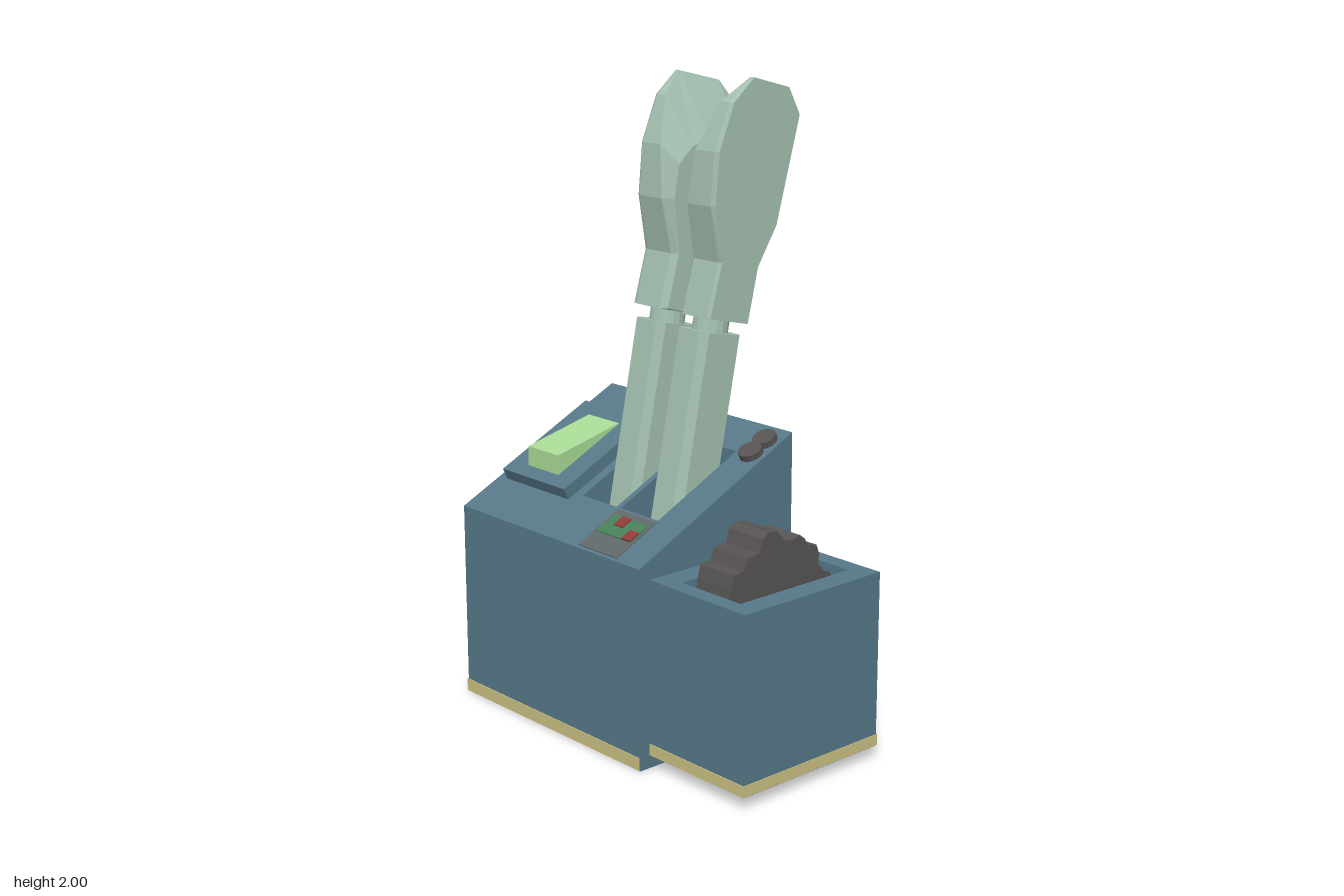
import * as THREE from 'three';

const mat = (color, flat = true) => new THREE.MeshStandardMaterial({ color, flatShading: flat });
const BLUE = mat(0x567888), YELLOW = mat(0xc9bf80), SAGE = mat(0xa3bfaf), LIME = mat(0xa9d994);
const DARK = mat(0x575353), PANEL = mat(0x5f6868), GREEN = mat(0x47805a), RED = mat(0x8f3a3a);

function add(parent, name, geometry, material) {
  const mesh = new THREE.Mesh(geometry, material);
  mesh.name = name;
  parent.add(mesh);
  return mesh;
}

// Box given by its minimum and maximum corners
function boxBetween(a, b) {
  const g = new THREE.BoxGeometry(b[0] - a[0], b[1] - a[1], b[2] - a[2]);
  return g.translate((a[0] + b[0]) / 2, (a[1] + b[1]) / 2, (a[2] + b[2]) / 2);
}

// Side profile of [z, y] points, extruded from x0 to x1
function extrudeX(points, x0, x1) {
  const shape = new THREE.Shape(points.map(p => new THREE.Vector2(p[0], p[1])));
  const g = new THREE.ExtrudeGeometry(shape, { depth: x1 - x0, bevelEnabled: false });
  return g.rotateY(-Math.PI / 2).translate(x1, 0, 0);
}

// Solid from [x, y, z] loops of equal length, with flat end caps facing -x and +x
function loftX(loops) {
  const n = loops[0].length, index = [];
  for (let k = 0; k < loops.length - 1; k++) {
    for (let i = 0; i < n; i++) {
      const a = k * n + i, b = k * n + (i + 1) % n;
      index.push(a, a + n, b, b, a + n, b + n);
    }
  }
  const caps = l => THREE.ShapeUtils.triangulateShape(l.map(p => new THREE.Vector2(p[2], p[1])), []);
  for (const [a, b, c] of caps(loops[0])) index.push(a, b, c);
  const o = (loops.length - 1) * n;
  for (const [a, b, c] of caps(loops[loops.length - 1])) index.push(o + a, o + c, o + b);
  const g = new THREE.BufferGeometry();
  g.setAttribute('position', new THREE.Float32BufferAttribute(loops.flat(2), 3));
  g.setIndex(index);
  const flat = g.toNonIndexed();
  flat.computeVertexNormals();
  return flat;
}

const SLOPE = 0.3 / 0.62;
const slopeY = z => 0.63 + (0.38 - z) * SLOPE;

// Console with a sloping top and two lever slots
function makeConsole() {
  const g = new THREE.Group();
  g.name = 'console';
  const base = [[-0.24, 0], [0.38, 0], [0.38, 0.63]];
  const solid = [...base, [-0.24, 0.93]];
  const slot = [...base, [0.205, slopeY(0.205)], [0.205, slopeY(0.205) - 0.13],
    [-0.115, slopeY(-0.115) - 0.13], [-0.115, slopeY(-0.115)], [-0.24, 0.93]];
  const edges = [-0.625, -0.24, -0.08, -0.06, 0.11, 0.225];
  for (let i = 0; i < 5; i++) {
    add(g, i % 2 ? 'slotSection' : 'consoleSection', extrudeX(i % 2 ? slot : solid, edges[i], edges[i + 1]), BLUE);
  }
  add(g, 'baseStripe', boxBetween([-0.628, 0.002, -0.243], [0.223, 0.042, 0.383]), YELLOW);
  return g;
}

// Fittings laid on the slope: local y is its normal, local z runs down it
function makeSlopeFittings() {
  const g = new THREE.Group();
  g.name = 'slopeFittings';
  g.position.set(0, 0.63, 0.38);
  g.rotation.x = Math.atan(SLOPE);
  add(g, 'screenPlate', boxBetween([-0.585, -0.005, -0.544], [-0.275, 0.04, -0.161]), BLUE);
  add(g, 'circuitPanel', boxBetween([-0.062, -0.01, -0.185], [0.115, 0.003, -0.01]), PANEL);
  add(g, 'circuitBoard', boxBetween([-0.05, 0, -0.16], [0.105, 0.006, -0.08]), GREEN);
  for (const [x, z] of [[-0.01, -0.16], [0.065, -0.12]]) {
    add(g, 'circuitChip', boxBetween([x, 0, z], [x + 0.04, 0.01, z + 0.04]), RED);
  }
  for (const z of [-0.622, -0.555]) {
    add(g, 'roundButton', new THREE.CylinderGeometry(0.038, 0.038, 0.025, 20), DARK).position.set(0.172, 0.008, z);
  }
  return g;
}

// Side box with an open well and a ridged wheel in it
function makeSideBox() {
  const g = new THREE.Group();
  g.name = 'sideBox';
  const base = [[-0.21, 0.04], [0.34, 0.04], [0.34, 0.59]];
  const solid = [...base, [-0.21, 0.59]];
  const well = [...base, [0.285, 0.59], [0.285, 0.49], [-0.155, 0.49], [-0.155, 0.59], [-0.21, 0.59]];
  add(g, 'sideBoxInnerWall', extrudeX(solid, 0.225, 0.305), BLUE);
  add(g, 'sideBoxWell', extrudeX(well, 0.305, 0.55), BLUE);
  add(g, 'sideBoxOuterWall', extrudeX(solid, 0.55, 0.625), BLUE);
  add(g, 'sideBoxStripe', boxBetween([0.226, 0.042, -0.213], [0.627, 0.077, 0.343]), YELLOW);
  const wheel = [[-0.14, 0.485], [0.265, 0.485], [0.275, 0.55], [0.265, 0.61], [0.255, 0.65], [0.215, 0.655],
    [0.2, 0.69], [0.155, 0.695], [0.14, 0.735], [0.115, 0.75], [0.08, 0.745], [0.055, 0.71], [0.02, 0.705],
    [-0.01, 0.715], [-0.03, 0.7], [-0.045, 0.675], [-0.08, 0.67], [-0.092, 0.64], [-0.088, 0.61],
    [-0.11, 0.585], [-0.14, 0.57], [-0.15, 0.53]];
  add(g, 'ridgedWheel', extrudeX(wheel, 0.35, 0.49), DARK);
  return g;
}

// Lever, modelled on the -x side; the other one is its mirror (s = -1)
const MIRROR_X = -0.0625;
function makeLever(s) {
  const g = new THREE.Group();
  g.name = s > 0 ? 'rightLever' : 'leftLever';
  const X = x => (s > 0 ? x : 2 * MIRROR_X - x);

  // Shaft with chamfered corners and round neck, leaning back
  const arm = new THREE.Group();
  arm.name = 'leverArm';
  arm.position.set(X(-0.16), 1.24, -0.072);
  arm.rotation.x = -0.2;
  const w = 0.066, d = 0.085, c = 0.022;
  const section = new THREE.Shape([[-w + c, -d], [w - c, -d], [w, -d + c], [w, d - c],
    [w - c, d], [-w + c, d], [-w, d - c], [-w, -d + c]].map(p => new THREE.Vector2(...p)));
  const shaft = new THREE.ExtrudeGeometry(section, { depth: 0.64, bevelEnabled: false });
  add(arm, 'leverShaft', shaft.rotateX(Math.PI / 2), SAGE);
  add(arm, 'leverNeck', new THREE.CylinderGeometry(0.055, 0.055, 0.09, 16), SAGE).position.y = 0.03;
  g.add(arm);

  // Handle outline: z, y, and how far the rim reaches inwards
  const outline = [[0, 1.296, -0.115], [-0.048, 1.46, -0.115], [-0.016, 1.63, -0.12], [-0.03, 1.79, -0.14],
    [-0.09, 1.93, -0.185], [-0.175, 1.998, -0.222], [-0.33, 1.96, -0.205], [-0.38, 1.875, -0.17],
    [-0.3, 1.6, -0.125], [-0.286, 1.55, -0.12], [-0.206, 1.43, -0.115], [-0.164, 1.26, -0.115]];
  const axis = y => -0.082 - (y - 1.28) * 0.22;
  const toAxis = (z, y, t) => z + (axis(y) - z) * t;
  const loops = [
    outline.map(([z, y]) => [X(-0.235), y, toAxis(z, y, 0.06)]),
    outline.map(([z, y]) => [X(-0.222), y, z]),
    outline.map(([z, y, x]) => [X(Math.max(x, -0.22)), y, z]),
    outline.map(([z, y]) => [X(-0.095), y > 1.7 ? 1.7 + (y - 1.7) * 0.35 : y, toAxis(z, y, 0.22)]),
  ];
  // Order the loops and corners so that the faces point outwards
  const ordered = (s > 0 ? loops : loops.reverse()).map(l => l.slice().reverse());
  add(g, 'leverHandle', loftX(orient(ordered)), SAGE);
  return g;
}

// Make each loop run counter-clockwise when seen in the (z, y) plane
function orient(loops) {
  const area = THREE.ShapeUtils.area(loops[0].map(p => new THREE.Vector2(p[2], p[1])));
  return area > 0 ? loops : loops.map(l => l.slice().reverse());
}

export function createModel() {
  const model = new THREE.Group();
  model.name = 'throttleConsole';
  model.add(makeConsole(), makeSlopeFittings(), makeSideBox(), makeLever(1), makeLever(-1));

  // Wedge-shaped display block on the plate
  const display = [[-0.04, 0.8], [0.21, 0.72], [0.21, 0.82], [-0.04, 0.88]];
  add(model, 'displayBlock', extrudeX(display, -0.505, -0.355), LIME);
  return model;
}
